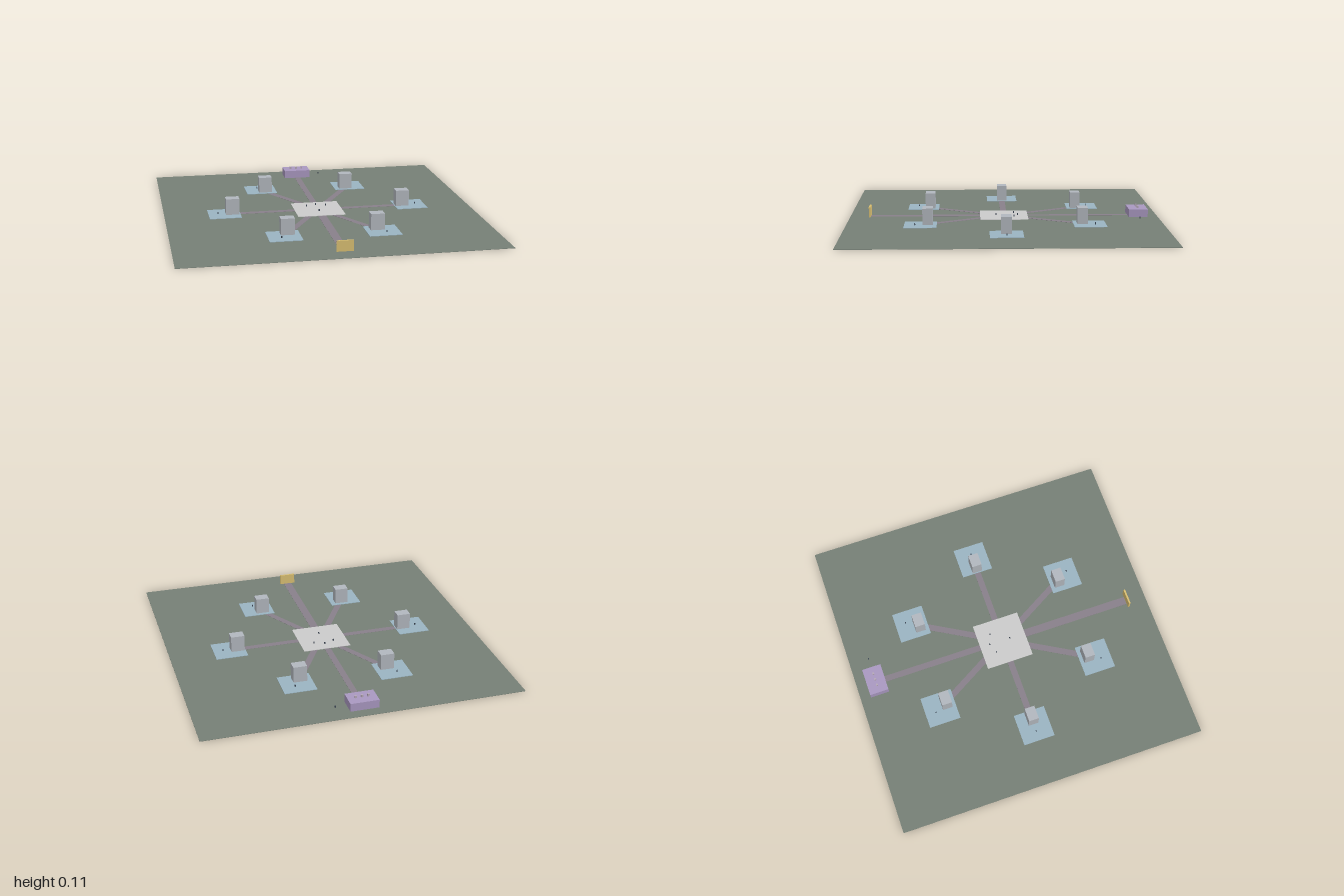
import * as THREE from 'three';

const GROUND = 0.002;

export function createModel() {
  const model = new THREE.Group();
  const mat = (color) => new THREE.MeshStandardMaterial({ color });
  const mats = {
    ground: mat(0x768076), path: mat(0x88808a), plaza: mat(0xc8c8cc), pad: mat(0x9ab4c2),
    house: mat(0xb2b7be), hall: mat(0xa998c0), sign: mat(0xd9bf72), person: mat(0x3c4654), vent: mat(0xb5a8b8),
  };

  // Box resting on height y
  function block(name, material, w, h, d, x, y, z, turn = 0, parent = model) {
    const mesh = new THREE.Mesh(new THREE.BoxGeometry(w, h, d), material);
    mesh.name = name;
    mesh.position.set(x, y + h / 2, z);
    mesh.rotation.y = turn;
    parent.add(mesh);
    return mesh;
  }
  const person = (x, z, y = 0.005, parent = model) =>
    block('person', mats.person, 0.006, 0.012, 0.006, x, y, z, 0, parent);

  block('ground', mats.ground, 2, GROUND, 2, 0, 0, 0);

  // Central plaza with a few people
  block('plaza', mats.plaza, 0.31, 0.003, 0.31, 0, GROUND, 0);
  for (const [x, z] of [[0, -0.09], [-0.065, -0.065], [0.065, -0.065], [0, 0.05]]) person(x, z);

  // Main avenue, front to back
  block('frontPath', mats.path, 0.052, 0.0012, 0.75, 0, GROUND, 0.495);
  block('backPath', mats.path, 0.04, 0.0012, 0.69, 0, GROUND, -0.485);

  // Six plots around the plaza, each with path, pad, house and person
  for (let i = 0; i < 6; i++) {
    const a = (i * Math.PI) / 3;
    const c = Math.cos(a), s = Math.sin(a);
    const plot = new THREE.Group();
    plot.name = 'plot';
    model.add(plot);
    block('plotPath', mats.path, 0.46, 0.001, 0.04, 0.33 * c, GROUND, 0.33 * s, -a, plot);
    block('pad', mats.pad, 0.205, 0.003, 0.205, 0.615 * c, GROUND, 0.615 * s, 0, plot);
    block('house', mats.house, 0.087, 0.104, 0.065, 0.5625 * c, 0.005, 0.5625 * s, 0, plot);
    person(0.655 * c, 0.655 * s, 0.005, plot);
  }

  // Hall at the back with three small roof blocks and a person beside it
  block('hall', mats.hall, 0.18, 0.052, 0.123, 0, GROUND, -0.872);
  for (const x of [-0.04, 0, 0.04]) block('roofBlock', mats.vent, 0.012, 0.015, 0.012, x, 0.054, -0.872);
  person(0.165, -0.872, 0.008);

  // Entrance sign at the front
  block('sign', mats.sign, 0.102, 0.067, 0.011, 0, GROUND, 0.872);

  return model;
}
